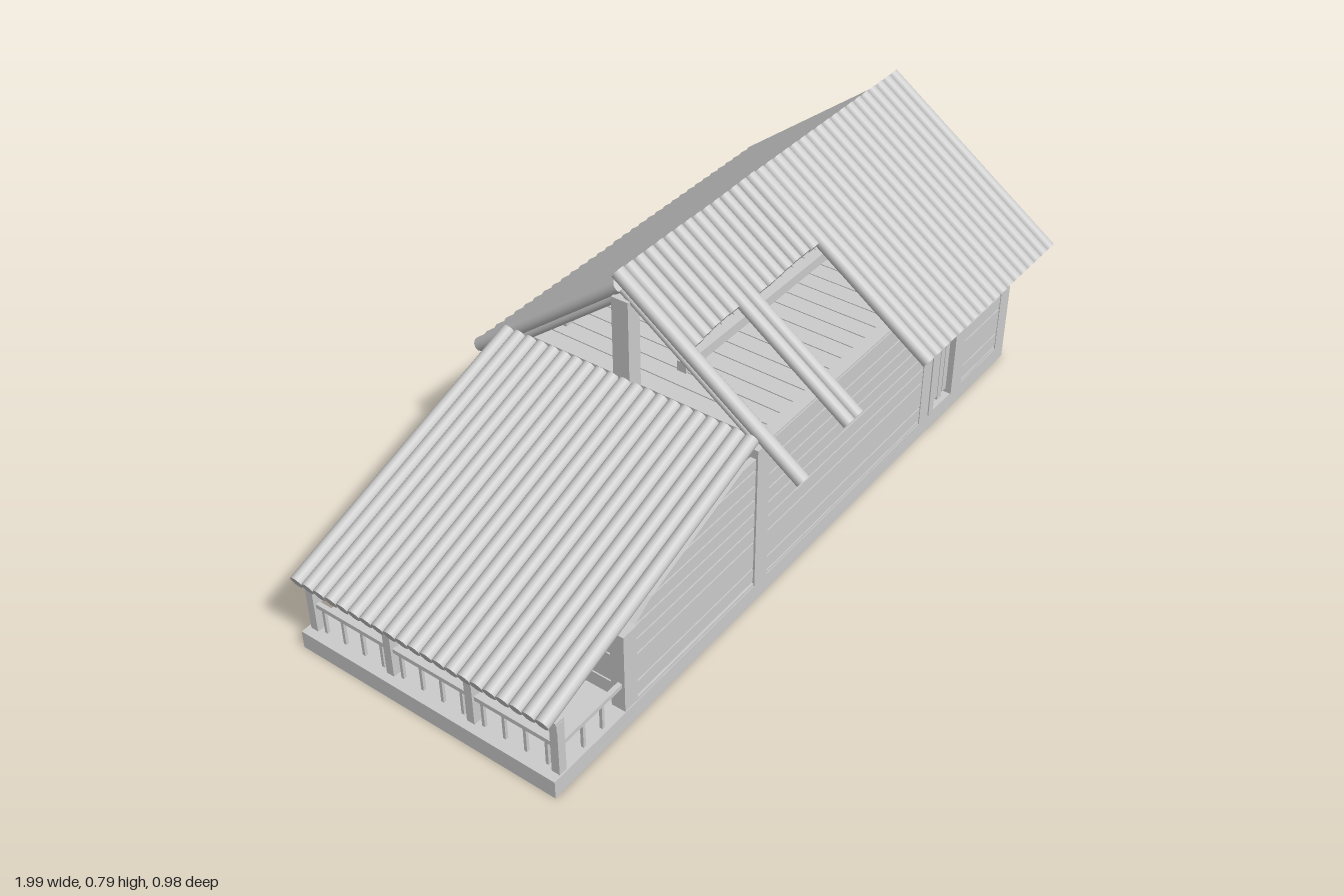
import * as THREE from 'three';

const mat = new THREE.MeshStandardMaterial({ color: 0xcccccc });
const LEVELS = [0.062, 0.107, 0.19, 0.235, 0.278, 0.32, 0.362, 0.407, 0.46];
const GABLE = [0.46, 0.513, 0.565, 0.607, 0.65, 0.682, 0.71];
const GAP = 0.005;

export function createModel() {
  const root = new THREE.Group();
  root.name = 'logCabin';

  const group = (name) => {
    const g = new THREE.Group();
    g.name = name;
    root.add(g);
    return g;
  };
  const add = (parent, name, geo) => {
    const m = new THREE.Mesh(geo, mat);
    m.name = name;
    parent.add(m);
    return m;
  };
  // box given by its limits
  const box = (parent, name, x0, x1, y0, y1, z0, z1) => {
    const m = add(parent, name, new THREE.BoxGeometry(x1 - x0, y1 - y0, z1 - z0));
    m.position.set((x0 + x1) / 2, (y0 + y1) / 2, (z0 + z1) / 2);
    return m;
  };
  // round log between two points
  const log = (parent, name, a, b, r) => {
    const p = new THREE.Vector3(...a), q = new THREE.Vector3(...b);
    const d = q.clone().sub(p);
    const m = add(parent, name, new THREE.CylinderGeometry(r, r, d.length(), 12));
    m.position.copy(p).add(q).multiplyScalar(0.5);
    m.quaternion.setFromUnitVectors(new THREE.Vector3(0, 1, 0), d.normalize());
  };
  // horizontal planks between two edges lo(y) and hi(y); along x or z
  const planks = (parent, levels, lo, hi, along, pos, t = 0.016) => {
    for (let i = 0; i < levels.length - 1; i++) {
      const y0 = levels[i], y1 = levels[i + 1] - GAP;
      if (hi(y0) - lo(y0) < 0.01) continue;
      const s = new THREE.Shape([
        new THREE.Vector2(lo(y0), y0), new THREE.Vector2(hi(y0), y0),
        new THREE.Vector2(Math.max(hi(y1), lo(y1) + 0.002), y1), new THREE.Vector2(lo(y1), y1),
      ]);
      const m = add(parent, 'plank', new THREE.ExtrudeGeometry(s, { depth: t, bevelEnabled: false }));
      if (along === 'z') { m.rotation.y = -Math.PI / 2; m.position.x = pos; }
      else m.position.z = pos - t;
    }
  };
  const at = (v) => () => v;
  const jitter = (i) => Math.sin(i * 12.9898 + 1.3) * 0.5 + Math.sin(i * 5.7) * 0.5;

  // roof centre lines
  const frontY = (z) => 0.765 - 0.7 * (z + 0.03);
  const backY = (z) => 0.735 + 0.79 * (z + 0.03);
  const leanY = (x) => 0.215 + 0.355 * (x + 0.99);

  box(root, 'foundation', -0.99, 0.99, 0, 0.05, -0.38, 0.375);

  // main house: corner posts and sills
  const frame = group('mainFrame');
  for (const [x0, x1] of [[-0.25, -0.2], [0.94, 0.99]]) {
    box(frame, 'cornerPost', x0, x1, 0.05, 0.46, 0.325, 0.375);
    box(frame, 'cornerPost', x0, x1, 0.05, 0.46, -0.38, -0.335);
    box(frame, 'gablePost', x0 + 0.005, x1 - 0.002, 0.05, 0.71, -0.04, 0.008);
    box(frame, 'sill', x0 + 0.02, x1 - 0.002, 0.05, 0.057, -0.335, 0.325);
  }
  box(frame, 'backSill', -0.2, 0.94, 0.05, 0.057, -0.378, -0.35);
  box(frame, 'frontSill', -0.2, 0.56, 0.05, 0.057, 0.345, 0.373);
  box(frame, 'frontSill', 0.7, 0.94, 0.05, 0.057, 0.345, 0.373);
  box(frame, 'topPlate', -0.24, 0.98, 0.43, 0.46, 0.335, 0.37);
  box(frame, 'topPlate', -0.24, 0.98, 0.43, 0.46, -0.375, -0.34);

  // plank walls
  const walls = group('mainWalls');
  planks(walls, LEVELS, at(-0.2), at(0.94), 'x', -0.362);
  planks(walls, LEVELS, at(-0.2), at(0.52), 'x', 0.373);
  planks(walls, LEVELS, at(0.745), at(0.94), 'x', 0.373);
  for (const x of [0.988, -0.226]) {
    planks(walls, LEVELS, at(0.008), at(0.325), 'z', x);
    planks(walls, LEVELS, at(-0.335), at(-0.04), 'z', x);
  }
  const gableFront = (y) => (0.765 - 0.03 - y) / 0.7 - 0.03;
  const gableBack = (y) => -0.03 - (0.735 - 0.03 - y) / 0.79;
  planks(walls, GABLE, at(0.008), gableFront, 'z', 0.988);
  planks(walls, GABLE, gableBack, (y) => Math.max(-0.04, gableBack(y)), 'z', 0.988);

  // doorway with rough upright boards
  const door = group('door');
  box(door, 'doorPost', 0.52, 0.565, 0.05, 0.46, 0.345, 0.375);
  box(door, 'doorPost', 0.7, 0.745, 0.05, 0.46, 0.345, 0.375);
  box(door, 'panelAbove', 0.565, 0.7, 0.28, 0.455, 0.35, 0.368);
  box(door, 'lintel', 0.56, 0.705, 0.262, 0.28, 0.345, 0.382);
  box(door, 'jamb', 0.565, 0.588, 0.05, 0.262, 0.345, 0.378);
  box(door, 'jamb', 0.685, 0.7, 0.05, 0.262, 0.345, 0.378);
  for (let i = 0; i < 4; i++) {
    const x = 0.59 + i * 0.024;
    box(door, 'doorBoard', x, x + 0.021, 0.052 + (i % 2) * 0.012, 0.25 - (i % 3) * 0.008, 0.348, 0.362);
  }
  box(door, 'doorBrace', 0.59, 0.685, 0.09, 0.105, 0.338, 0.348);
  box(door, 'doorBrace', 0.59, 0.685, 0.2, 0.215, 0.338, 0.348);

  // attic floor boards
  const attic = group('atticFloor');
  for (let i = 0; i < 22; i++) {
    const x = -0.2 + i * 0.053;
    box(attic, 'floorBoard', x, x + 0.05, 0.438, 0.452, -0.34, 0.34);
  }

  // roof beams and end rafters
  const beams = group('roofBeams');
  box(beams, 'ridgeBeam', -0.23, 0.985, 0.685, 0.71, -0.045, -0.015);
  box(beams, 'frontPurlin', -0.23, 0.985, 0.57, 0.597, 0.135, 0.16);
  box(beams, 'backPurlin', -0.23, 0.985, 0.555, 0.58, -0.215, -0.19);
  for (const x of [-0.225, 0.965]) {
    log(beams, 'rafter', [x, frontY(0.36) - 0.03, 0.36], [x, frontY(-0.02) - 0.03, -0.02], 0.012);
    log(beams, 'rafter', [x, backY(-0.34) - 0.03, -0.34], [x, backY(-0.04) - 0.03, -0.04], 0.012);
  }

  // log roof, with most of the front logs broken off near one end
  const roof = group('mainRoof');
  for (let i = 0; i < 33; i++) {
    const x = -0.224 + i * 0.0373;
    const worn = i > 0 && i < 15;
    const whole = !worn || i === 6 || i === 7;
    const r = worn ? 0.0172 : 0.0187;
    const zEnd = whole ? (worn ? 0.46 : 0.48) : 0.16 + 0.012 * jitter(i);
    const lift = worn ? 0.004 * jitter(i + 3) : 0;
    log(roof, 'frontRoofLog', [x, frontY(zEnd) + lift, zEnd], [x, frontY(-0.035) + lift, -0.035], r);
    log(roof, 'backRoofLog', [x, backY(-0.482), -0.482], [x, backY(-0.03), -0.03], r);
  }

  // lean-to walls following the single slope
  const lean = group('leanTo');
  const leanLevels = [...LEVELS.slice(0, 8), 0.44];
  const slopeEdge = (y) => Math.max(-0.7, -0.99 + (y + 0.024 - 0.215) / 0.355);
  for (const [z, out] of [[0.37, 1], [-0.358, -1]]) {
    planks(lean, leanLevels, slopeEdge, at(-0.25), 'x', z);
    const a = out > 0 ? 0.335 : -0.378, b = out > 0 ? 0.373 : -0.34;
    box(lean, 'frontPost', -0.745, -0.7, 0.05, 0.275, a, b);
    box(lean, 'sill', -0.7, -0.25, 0.05, 0.057, a, b);
  }
  // porch wall with a doorway
  const porchLevels = [...LEVELS.slice(0, 5)];
  planks(lean, porchLevels, at(-0.34), at(0.06), 'z', -0.715);
  planks(lean, porchLevels, at(0.22), at(0.335), 'z', -0.715);
  box(lean, 'doorPost', -0.745, -0.715, 0.05, 0.27, 0.045, 0.07);
  box(lean, 'doorPost', -0.745, -0.715, 0.05, 0.27, 0.21, 0.235);
  box(lean, 'wallBeam', -0.745, -0.715, 0.25, 0.278, -0.34, 0.335);
  box(lean, 'openDoor', -0.78, -0.745, 0.055, 0.235, 0.205, 0.218);

  // porch posts, beam and railing
  const porch = group('porch');
  const postZ = [-0.36, -0.12, 0.12, 0.36];
  for (const z of postZ) box(porch, 'porchPost', -0.968, -0.945, 0.05, 0.2, z - 0.011, z + 0.011);
  box(porch, 'porchBeam', -0.97, -0.943, 0.185, 0.207, -0.375, 0.37);
  box(porch, 'endRail', -0.962, -0.95, 0.12, 0.132, -0.36, 0.36);
  for (let i = 0; i < 12; i++) {
    const z = -0.33 + i * 0.06;
    box(porch, 'endBaluster', -0.96, -0.952, 0.05, 0.12, z - 0.004, z + 0.004);
  }
  for (const z of [-0.36, 0.36]) {
    box(porch, 'sideRail', -0.95, -0.745, 0.12, 0.132, z - 0.006, z + 0.006);
    for (const x of [-0.875, -0.81]) box(porch, 'sideBaluster', x - 0.004, x + 0.004, 0.05, 0.12, z - 0.004, z + 0.004);
  }

  // lean-to roof logs
  const leanRoof = group('leanToRoof');
  for (let i = 0; i < 21; i++) {
    const z = -0.364 + i * 0.0358;
    log(leanRoof, 'leanToRoofLog', [-0.993, leanY(-0.993), z], [-0.242, leanY(-0.242), z], 0.0179);
  }
  return root;
}
